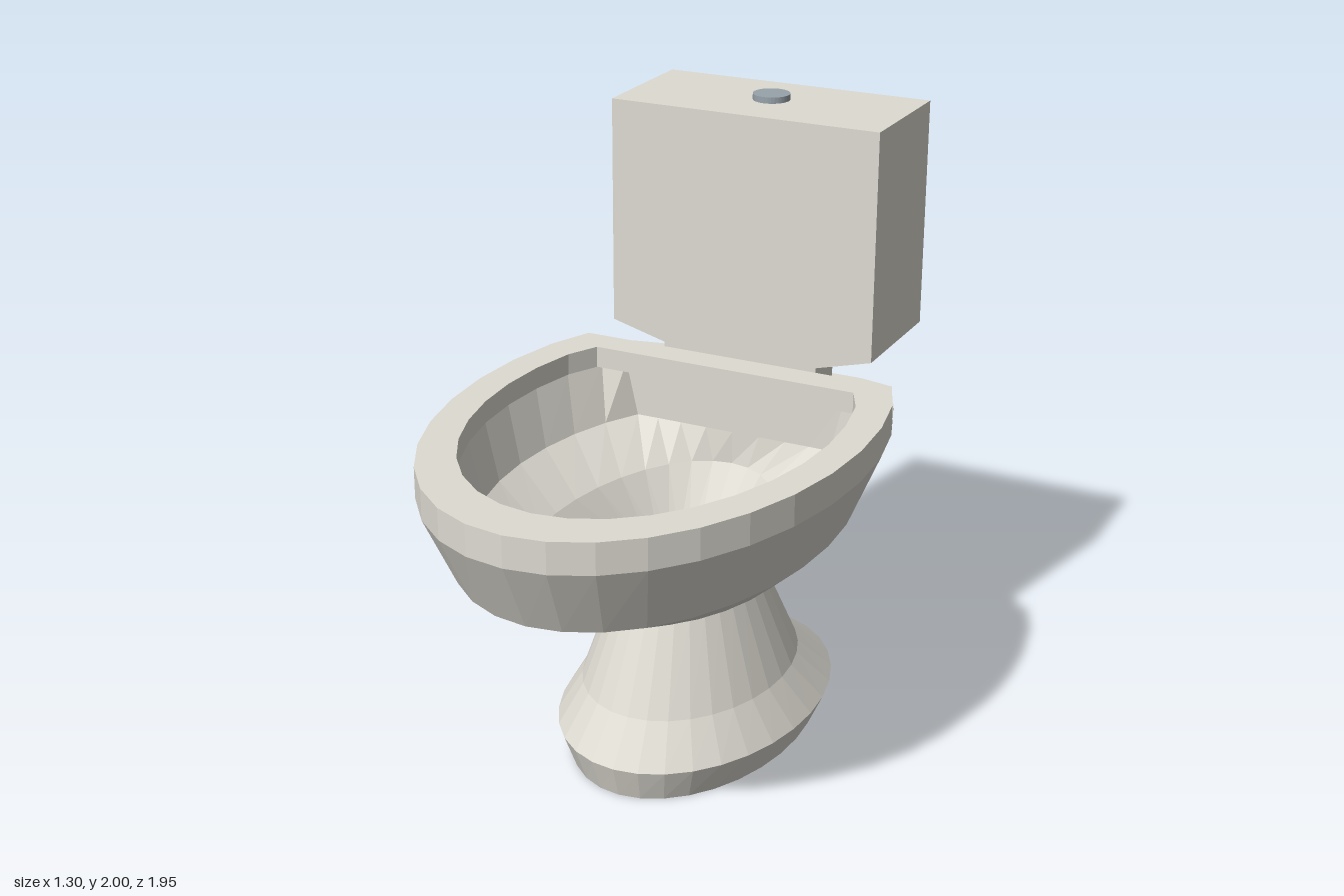
import * as THREE from 'three';

const SIDES = 32;

// Egg-shaped horizontal ring; points behind `clip` are flattened onto a straight back edge.
function ovalRing(y, rx, front, back, clip = -9) {
  const cz = (front + back) / 2, rz = (front - back) / 2;
  return Array.from({ length: SIDES }, (_, i) => {
    const t = (i / SIDES) * Math.PI * 2;
    return new THREE.Vector3(rx * Math.sin(t), y, Math.max(cz + rz * Math.cos(t), clip));
  });
}

function rectRing(y, hx, front, back) {
  return [[-hx, front], [hx, front], [hx, back], [-hx, back]].map(([x, z]) => new THREE.Vector3(x, y, z));
}

// Collapses a ring to its middle, used to close the end of a loft.
function capRing(ring) {
  const mid = ring.reduce((sum, p) => sum.add(p), new THREE.Vector3()).divideScalar(ring.length);
  return ring.map(() => mid);
}

// Skin between successive rings with equal point counts.
function loft(rings) {
  const n = rings[0].length, index = [];
  for (let r = 0; r < rings.length - 1; r++) {
    for (let i = 0; i < n; i++) {
      const a = r * n + i, b = r * n + (i + 1) % n;
      index.push(a, b, b + n, a, b + n, a + n);
    }
  }
  const geometry = new THREE.BufferGeometry().setFromPoints(rings.flat());
  geometry.setIndex(index);
  const flat = geometry.toNonIndexed();
  flat.computeVertexNormals();
  return flat;
}

export function createModel() {
  const model = new THREE.Group();
  model.name = 'toilet';
  const ceramic = new THREE.MeshStandardMaterial({ color: 0xdedbd2, flatShading: true });
  const metal = new THREE.MeshStandardMaterial({ color: 0x98a3aa, flatShading: true });

  const add = (name, geometry, material = ceramic) => {
    const mesh = new THREE.Mesh(geometry, material);
    mesh.name = name;
    model.add(mesh);
    return mesh;
  };

  // Flared foot narrowing to a waist
  const foot = ovalRing(0, 0.36, 0.315, -0.82);
  add('pedestal', loft([
    capRing(foot), foot,
    ovalRing(0.11, 0.41, 0.35, -0.85),
    ovalRing(0.245, 0.325, 0.25, -0.66),
    ovalRing(0.535, 0.225, 0.12, -0.5),
  ]));

  // Bowl: up the outside, across the rear shelf, then down the inside
  const floor = ovalRing(0.62, 0.155, 0.11, -0.32);
  add('bowl', loft([
    ovalRing(0.535, 0.225, 0.12, -0.5),
    ovalRing(0.685, 0.39, 0.48, -0.63),
    ovalRing(0.85, 0.555, 0.86, -0.86, -0.71),
    ovalRing(1.08, 0.65, 0.975, -0.975, -0.71),
    ovalRing(1.11, 0.65, 0.975, -0.975, -0.71),
    ovalRing(1.11, 0.55, 0.82, -0.82, -0.5),
    ovalRing(0.93, 0.49, 0.79, -0.72, -0.5),
    ovalRing(0.82, 0.325, 0.705, -0.5),
    floor, capRing(floor),
  ]));

  // Raised rim with a straight bar across the back
  const outline = (ring) => ring.map((p) => new THREE.Vector2(p.x, -p.z));
  const rimShape = new THREE.Shape(outline(ovalRing(0, 0.65, 0.975, -0.975, -0.52)));
  rimShape.holes.push(new THREE.Path(outline(ovalRing(0, 0.545, 0.815, -0.815, -0.415))));
  const rim = new THREE.ExtrudeGeometry(rimShape, { depth: 0.07, bevelEnabled: false });
  rim.rotateX(-Math.PI / 2);
  add('rim', rim).position.y = 1.11;

  // Cistern with a tapered underside and a short neck on the shelf
  const top = rectRing(1.98, 0.458, -0.545, -0.975);
  add('cistern', loft([
    rectRing(1.11, 0.27, -0.545, -0.685),
    rectRing(1.185, 0.27, -0.545, -0.685),
    rectRing(1.235, 0.458, -0.545, -0.975),
    top, capRing(top),
  ]));

  // Flush button
  add('flushButton', new THREE.CylinderGeometry(0.06, 0.06, 0.03, SIDES), metal)
    .position.set(0, 1.985, -0.765);

  return model;
}
